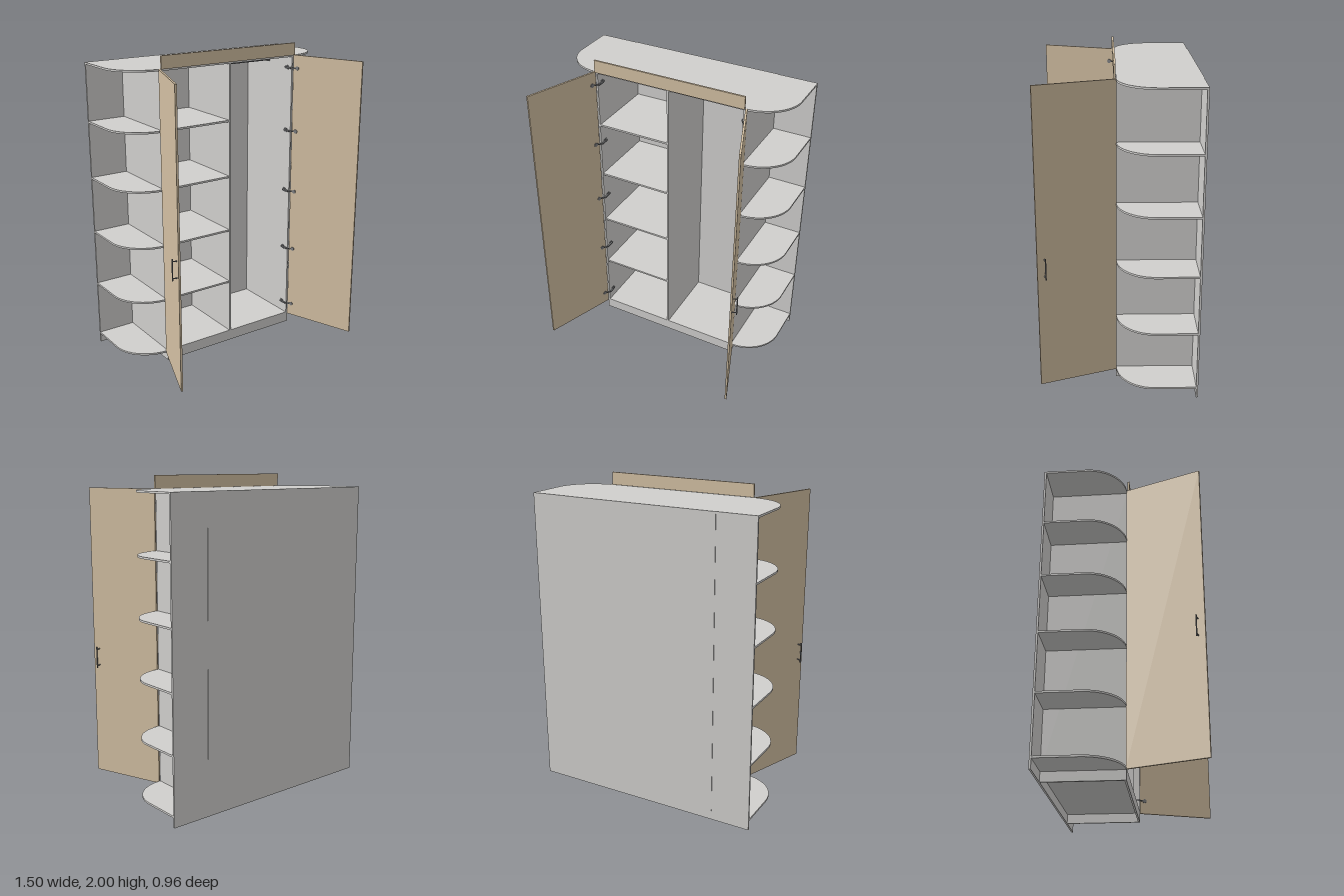
import * as THREE from 'three';

const mat = (name, color) => {
  const m = new THREE.MeshStandardMaterial({ color });
  m.name = name;
  return m;
};

export function createModel() {
  const grey = mat('light grey board', 0xd0cfcd);
  const tan = mat('beige wood', 0xd2bfa2);
  const metal = mat('grey metal', 0x7c7d7f);
  const root = new THREE.Group();
  root.name = 'wardrobe';

  const T = 0.012, H = 1.92, BASE = 0.06;
  const FRONT = 0.015, BACK = -0.48, INNER = BACK + T;
  const STEP = (H - T - BASE) / 5; // shelf spacing

  const add = (parent, name, geo, material, x = 0, y = 0, z = 0) => {
    const m = new THREE.Mesh(geo, material);
    m.name = name;
    m.position.set(x, y, z);
    parent.add(m);
    return m;
  };
  // Box given by its two opposite corners
  const box = (parent, name, material, x0, x1, y0, y1, z0, z1) =>
    add(parent, name, new THREE.BoxGeometry(Math.abs(x1 - x0), y1 - y0, z1 - z0), material,
      (x0 + x1) / 2, (y0 + y1) / 2, (z0 + z1) / 2);
  const rod = (parent, name, r, length, axis, x, y, z) => {
    const g = new THREE.CylinderGeometry(r, r, length, 16);
    if (axis === 'x') g.rotateZ(Math.PI / 2);
    if (axis === 'z') g.rotateX(Math.PI / 2);
    return add(parent, name, g, metal, x, y, z);
  };
  // Flat board from a plan outline (shape y is -z), lying on height y
  const board = (name, shape, y) => {
    const g = new THREE.ExtrudeGeometry(shape, { depth: T, bevelEnabled: false, curveSegments: 20 });
    g.rotateX(-Math.PI / 2);
    return add(root, name, g, grey, 0, y, 0);
  };

  // Back boards
  box(root, 'backBoard', grey, -0.75, 0.75, 0, H, BACK, INNER);
  box(root, 'backPanel', grey, -0.5, 0.5, BASE, H, BACK - 0.003, BACK);

  // Top with both front corners rounded
  const top = new THREE.Shape();
  top.moveTo(-0.75, -INNER);
  top.lineTo(-0.75, 0.22);
  top.absellipse(-0.5, 0.22, 0.25, 0.235, Math.PI, Math.PI * 1.5, false);
  top.lineTo(0.5, -FRONT);
  top.absellipse(0.5, 0.22, 0.25, 0.235, Math.PI * 1.5, Math.PI * 2, false);
  top.lineTo(0.75, -INNER);
  board('topBoard', top, H - T);

  // Carcass
  box(root, 'bottomBoard', grey, -0.5 + T, 0.5 - T, BASE, BASE + T, INNER, FRONT);
  box(root, 'centrePanel', grey, -T / 2, T / 2, BASE + T, H - T, INNER, FRONT);
  box(root, 'plinthFront', grey, -0.5, 0.5, 0, BASE, FRONT - T, FRONT);
  box(root, 'valance', tan, -0.5, 0.5, H, 2, FRONT + 0.002, FRONT + 0.002 + T);
  for (let i = 1; i < 5; i++) {
    const y = BASE + i * STEP;
    box(root, 'innerShelf', grey, -0.5 + T, -T / 2, y, y + T, INNER, FRONT - 0.004);
  }

  // Hanging rail
  rod(root, 'hangingRail', 0.008, 0.48, 'x', 0.247, 1.864, -0.23);
  for (const x of [0.01, 0.484]) rod(root, 'railSocket', 0.014, 0.008, 'x', x, 1.864, -0.23);

  for (const s of [-1, 1]) {
    box(root, 'sidePanel', grey, s * 0.5, s * (0.5 - T), BASE, H - T, INNER, FRONT);
    box(root, 'plinthSide', grey, s * 0.5, s * (0.5 - T), 0, BASE, INNER, FRONT - T);

    // Rounded end shelves
    const end = new THREE.Shape();
    end.moveTo(s * 0.5, -INNER);
    end.lineTo(s * 0.5, -FRONT);
    end.absellipse(s * 0.5, 0.22, 0.25, 0.235, -Math.PI / 2, s > 0 ? 0 : -Math.PI, s < 0);
    end.lineTo(s * 0.75, -INNER);
    for (let i = 0; i < 5; i++) board('endShelf', end, BASE + i * STEP);

    // Open door, turned about its hinge edge
    const door = new THREE.Group();
    door.name = s > 0 ? 'leftDoor' : 'rightDoor';
    door.position.set(s * 0.5, 0, FRONT + 0.002);
    door.rotation.y = -s * 1.22;
    root.add(door);
    box(door, 'doorPanel', tan, 0, s * 0.495, BASE, H, -T, 0);

    // Handle on the outer face
    const hx = s * 0.452;
    rod(door, 'handleBar', 0.004, 0.136, 'y', hx, 0.838, -0.04);
    for (const y of [0.785, 0.891]) rod(door, 'handlePost', 0.0035, 0.028, 'z', hx, y, -0.026);

    // Hinges: cup on the door, plate and arm on the side panel
    for (let i = 0; i < 5; i++) {
      const y = 0.145 + i * 0.4225;
      rod(door, 'hingeCup', 0.013, 0.004, 'z', s * 0.03, y, 0.002);
      box(root, 'hingePlate', metal, s * 0.488, s * 0.484, y - 0.013, y + 0.013, -0.045, -0.02);
      box(root, 'hingeArm', metal, s * 0.486, s * 0.477, y - 0.005, y + 0.005, -0.045, 0.012);
      const link = box(root, 'hingeLink', metal, s * 0.479, s * 0.507, y - 0.004, y + 0.004, 0.022, 0.028);
      link.rotation.y = -s * 0.9;
    }
  }
  return root;
}
